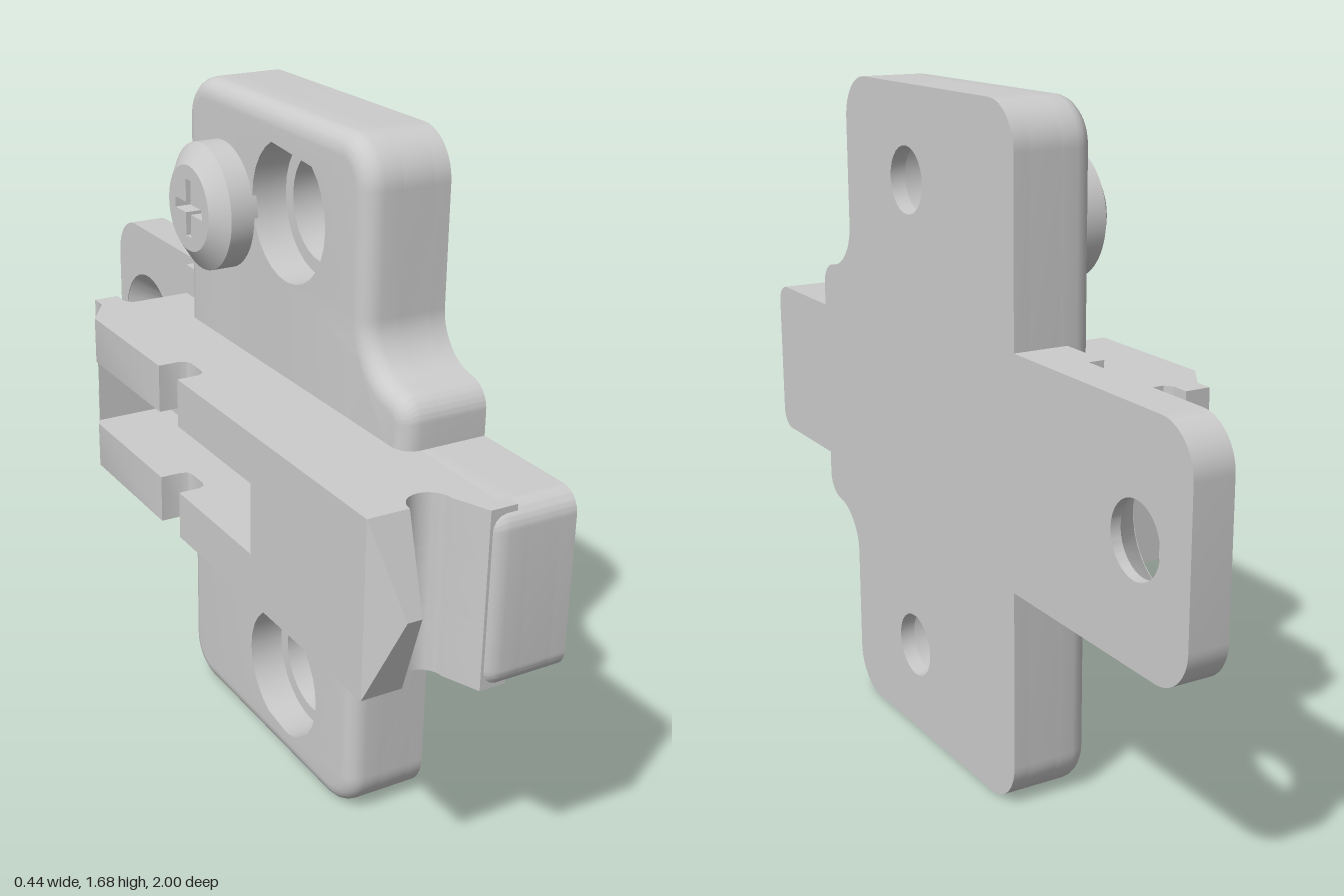
import * as THREE from 'three';
import { toCreasedNormals } from 'three/addons/utils/BufferGeometryUtils.js';

const MID = 0.84; // height of the mirror plane
const material = new THREE.MeshStandardMaterial({ color: 0xcccccc });

function part(name, geometry, crease = 0.6) {
  const mesh = new THREE.Mesh(toCreasedNormals(geometry, crease), material);
  mesh.name = name;
  return mesh;
}

// Outline from [z, y, cornerRadius] points; shape x is -z
function roundedShape(corners) {
  const pts = corners.map(([z, y]) => new THREE.Vector2(-z, y));
  const n = pts.length, shape = new THREE.Shape();
  pts.forEach((p, i) => {
    const r = corners[i][2];
    const toward = (q, d) => p.clone().add(q.clone().sub(p).setLength(d));
    const prev = pts[(i + n - 1) % n], next = pts[(i + 1) % n];
    const a = toward(prev, r), b = toward(next, r);
    if (i === 0) shape.moveTo(a.x, a.y); else shape.lineTo(a.x, a.y);
    if (r > 0) {
      const c = toward(prev, r * 0.45), d = toward(next, r * 0.45);
      shape.bezierCurveTo(c.x, c.y, d.x, d.y, b.x, b.y);
    }
  });
  shape.closePath();
  return shape;
}

const mirrored = (upper) => [...upper, ...upper.map(([z, y, r]) => [z, 2 * MID - y, r]).reverse()];

function drill(shape, z, y, r) {
  const hole = new THREE.Path();
  hole.absarc(-z, y, r, 0, Math.PI * 2, true);
  shape.holes.push(hole);
}

const holes = [[0.18, 1.45], [0.18, 0.235]];

// One slice of the cross plate between x0 and x1, optionally filleted on its x0 side
function plateLayer(x0, x1, holeRadius, fillet) {
  const shape = roundedShape(mirrored([
    [-0.33, 1.68, 0.11], [0.51, 1.68, 0.11], [0.51, 1.19, 0.1],
    [0.68, 1.16, 0.05], [0.68, 1.05, 0], [1, 1.05, 0.05],
  ]));
  holes.forEach(([z, y]) => drill(shape, z, y, holeRadius));
  const geo = new THREE.ExtrudeGeometry(shape, {
    depth: x1 - x0 - fillet, curveSegments: 14, bevelEnabled: fillet > 0,
    bevelThickness: fillet, bevelSize: fillet, bevelOffset: -fillet, bevelSegments: 5,
  });
  geo.translate(0, 0, x0 + fillet);
  if (fillet > 0) {
    // Flatten the far bevel and keep the bores straight
    const pos = geo.attributes.position;
    for (let i = 0; i < pos.count; i++) {
      let x = pos.getX(i), y = pos.getY(i);
      for (const [hz, hy] of holes) {
        const d = Math.hypot(x + hz, y - hy);
        if (d < holeRadius + fillet + 0.01) {
          x = -hz + (x + hz) * holeRadius / d;
          y = hy + (y - hy) * holeRadius / d;
        }
      }
      pos.setXYZ(i, x, y, Math.min(pos.getZ(i), x1));
    }
  }
  return geo.rotateY(Math.PI / 2);
}

// One slice of the arm between y0 and y1, cut from its [x, z] plan
function armLayer(y0, y1, pocket, lip) {
  const plan = [[0.08, -0.48], [-0.08, -0.48], [-0.095, -0.5]];
  if (lip) plan.push([-0.095, -0.545], [-0.16, -0.545]);
  plan.push([-0.16, -0.5]);
  if (pocket) plan.push([-0.207, -0.43], [-0.01, -0.43], [-0.01, 0.43], [-0.22, 0.43]);
  else plan.push([-0.22, -0.41], [-0.22, -0.03], [-0.165, -0.03], [-0.15, -0.022], [-0.145, -0.005],
    [-0.145, 0.045], [-0.15, 0.062], [-0.165, 0.07], [-0.22, 0.07]);
  plan.push([-0.22, 0.9]);
  for (let i = 0; i <= 14; i++) { // round groove behind the nose
    const a = Math.PI * i / 14;
    plan.push([-0.07 - 0.05 * Math.cos(a), 0.9 - 0.05 * Math.sin(a)]);
  }
  plan.push([0.015, 0.985], [0.08, 0.985]);
  const shape = new THREE.Shape(plan.map(([x, z]) => new THREE.Vector2(x, -z)));
  const geo = new THREE.ExtrudeGeometry(shape, { depth: y1 - y0, bevelEnabled: false });
  return geo.rotateX(-Math.PI / 2).translate(0, y0, 0);
}

// Pointed nose: a wedge that swells forward at mid height
function noseGeometry() {
  const p = [[-0.22, 0.635, 0.9], [-0.12, 0.635, 0.9], [-0.12, 1.05, 0.9], [-0.22, 1.05, 0.9],
    [-0.165, MID, 0.975], [-0.13, MID, 0.975]];
  const faces = [0, 1, 5, 0, 5, 4, 3, 4, 5, 3, 5, 2, 0, 4, 3, 1, 2, 5];
  const geo = new THREE.BufferGeometry();
  geo.setAttribute('position', new THREE.Float32BufferAttribute(faces.flatMap((i) => p[i]), 3));
  geo.computeVertexNormals();
  return geo;
}

// Screw head around +y, with a cross recess
function screwHead() {
  const group = new THREE.Group();
  group.name = 'adjustingScrew';
  const side = [[0.155, -0.02], [0.155, 0.05], [0.105, 0.085]].map(([r, h]) => new THREE.Vector2(r, h));
  group.add(part('screwSide', new THREE.LatheGeometry(side, 48)));
  const top = new THREE.Shape();
  top.absarc(0, 0, 0.105, 0, Math.PI * 2, false);
  const w = 0.013, l = 0.07, cross = [];
  for (let k = 0; k < 4; k++) {
    const c = Math.round(Math.cos(k * Math.PI / 2)), s = Math.round(Math.sin(k * Math.PI / 2));
    for (const [x, y] of [[l, -w], [l, w], [w, w]]) cross.push(new THREE.Vector2(x * c - y * s, x * s + y * c));
  }
  top.holes.push(new THREE.Path(cross));
  const face = new THREE.ExtrudeGeometry(top, { depth: 0.04, bevelEnabled: false, curveSegments: 24 });
  group.add(part('screwFace', face.rotateX(-Math.PI / 2).translate(0, 0.045, 0)));
  group.add(part('recessFloor', new THREE.CircleGeometry(0.1, 24).rotateX(-Math.PI / 2).translate(0, 0.045, 0)));
  group.rotation.z = Math.PI / 2;
  return group;
}

export function createModel() {
  const model = new THREE.Group();
  model.name = 'hingeMountingPlate';

  // Cross plate with stepped screw holes
  model.add(part('plateFront', plateLayer(0.01, 0.1, 0.165, 0.045)));
  model.add(part('plateMiddle', plateLayer(0.1, 0.18, 0.13, 0)));
  model.add(part('plateBack', plateLayer(0.18, 0.22, 0.083, 0)));

  // Thin rear tab with a countersunk hole
  const tab = roundedShape([[-0.33, 1.13, 0], [-0.33, 0.56, 0], [-1, 0.56, 0.11], [-1, 1.13, 0.11]]);
  drill(tab, -0.81, 0.845, 0.15);
  const tabGeo = new THREE.ExtrudeGeometry(tab, { depth: 0.1, bevelEnabled: false, curveSegments: 16 });
  model.add(part('rearTab', tabGeo.translate(0, 0, 0.12).rotateY(Math.PI / 2)));
  const sink = [[0.151, -0.12], [0.088, -0.195], [0.088, -0.22], [0.151, -0.22]];
  const sinkGeo = new THREE.LatheGeometry(sink.map(([r, h]) => new THREE.Vector2(r, h)), 64);
  model.add(part('countersink', sinkGeo.rotateZ(Math.PI / 2).translate(0, 0.845, -0.81)));

  // Step between the tab and the arm
  model.add(part('rearStep', new THREE.BoxGeometry(0.06, 0.57, 0.16).translate(0.11, 0.845, -0.4)));

  // Arm with side notches, open pocket and slotted rear lip
  const arm = new THREE.Group();
  arm.name = 'arm';
  for (const [y0, y1, pocket, lip] of [
    [0.635, 0.755, false, true], [0.755, 0.79, true, true], [0.79, 0.895, true, false],
    [0.895, 0.93, true, true], [0.93, 1.05, false, true],
  ]) arm.add(part('armLayer', armLayer(y0, y1, pocket, lip)));
  arm.add(part('nose', noseGeometry(), 0.1));
  model.add(arm);

  const screw = screwHead();
  screw.position.set(0, 1.395, -0.13);
  model.add(screw);
  return model;
}
